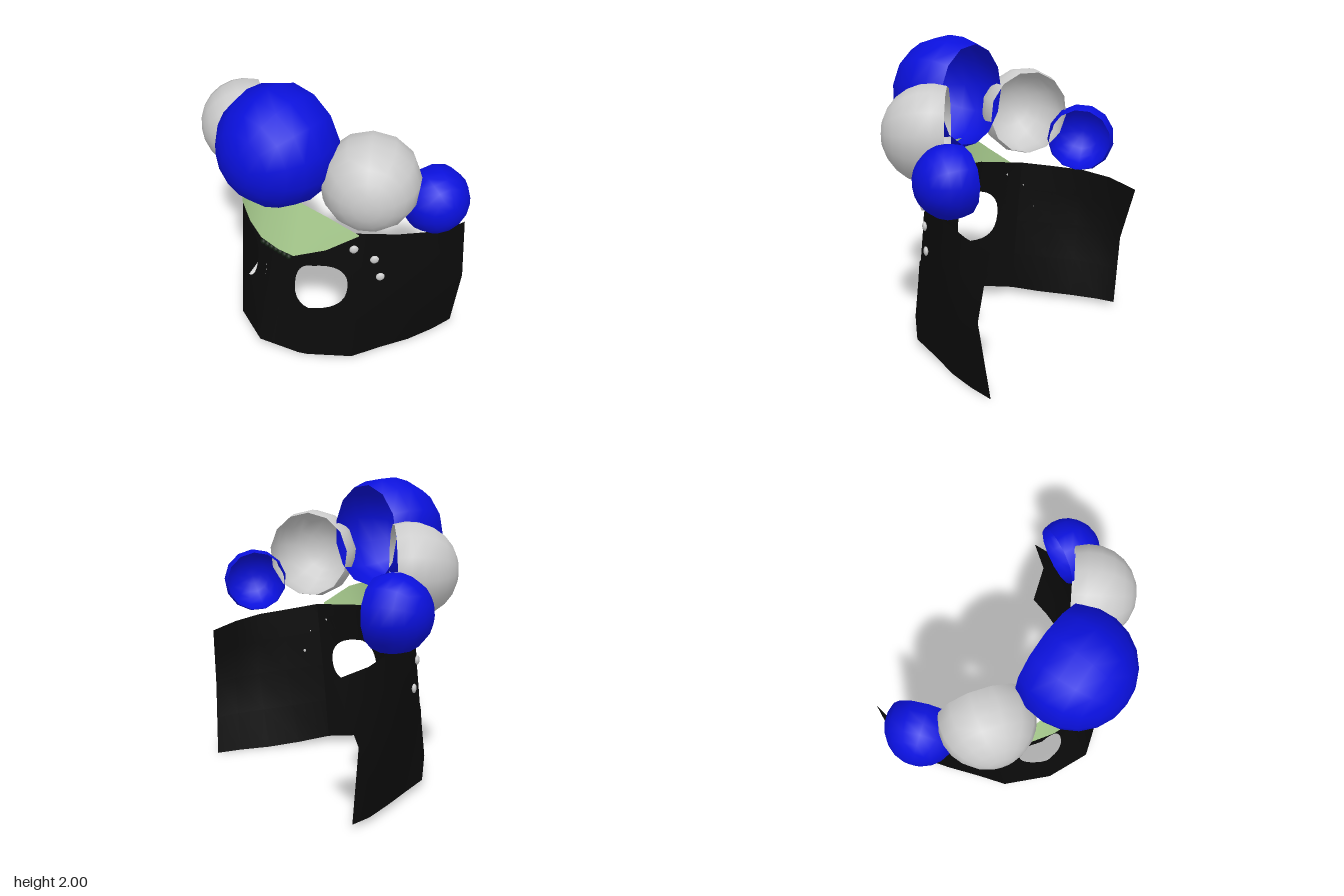
import * as THREE from 'three';
import { mergeGeometries } from 'three/addons/utils/BufferGeometryUtils.js';

const material = (color) => new THREE.MeshStandardMaterial({ color, side: THREE.DoubleSide });
const BLACK = material(0x0b0b0b), BLUE = material(0x0a10dc), GREY = material(0xcccccc);
const GREEN = material(0xafd494), DARK_GREEN = material(0x142014);

// Mask columns from right ear to left ear: [t, top x y z, middle x z, bottom x y z]
const COLUMNS = [
  [-0.95, -0.79, 0.92, -0.7, -0.85, -0.57, -0.79, 0.03, -0.57],
  [-0.85, -0.82, 0.97, -0.48, -0.84, -0.42, -0.77, 0.03, -0.43],
  [-0.75, -0.76, 1.01, -0.28, -0.78, -0.25, -0.71, 0.035, -0.25],
  [-0.65, -0.66, 1.03, -0.08, -0.68, -0.08, -0.62, 0.04, -0.02],
  [-0.55, -0.55, 1.05, 0.1, -0.55, 0.14, -0.55, 0.05, 0.18],
  [-0.3, -0.3, 1.08, 0.29, -0.3, 0.36, -0.3, 0.09, 0.42],
  [0, 0, 1.09, 0.35, 0, 0.41, 0, 0.1, 0.54],
  [0.3, 0.3, 1.09, 0.29, 0.3, 0.36, 0.3, 0.075, 0.43],
  [0.55, 0.55, 1.08, 0.1, 0.55, 0.15, 0.55, 0.045, 0.2],
  [0.65, 0.68, 1.04, -0.08, 0.7, -0.08, 0.63, 0.02, -0.02],
  [0.75, 0.78, 1.01, -0.25, 0.81, -0.25, 0.72, 0, -0.23],
  [0.85, 0.83, 0.97, -0.42, 0.87, -0.42, 0.79, 0, -0.43],
  [0.95, 0.84, 0.92, -0.6, 0.9, -0.56, 0.83, 0, -0.6],
];
const MID = 0.55;

function column(t) {
  let i = 0;
  while (i < COLUMNS.length - 2 && COLUMNS[i + 1][0] < t) i++;
  const a = COLUMNS[i], b = COLUMNS[i + 1], k = (t - a[0]) / (b[0] - a[0]);
  return a.map((v, j) => v + (b[j] - v) * k);
}

// Point of the mask; v runs from the bottom edge (0) to the top edge (1)
function maskPoint(t, v) {
  const [, tx, ty, tz, mx, mz, bx, by, bz] = column(t);
  const mid = new THREE.Vector3(mx, by + (ty - by) * MID, mz);
  return v < MID
    ? new THREE.Vector3(bx, by, bz).lerp(mid, v / MID)
    : mid.lerp(new THREE.Vector3(tx, ty, tz), (v - MID) / (1 - MID));
}

function heightToV(t, y) {
  const c = column(t);
  return (y - c[7]) / (c[2] - c[7]);
}

// Sheet through equal rows of points
function sheet(rows) {
  const n = rows[0].length, index = [];
  for (let i = 0; i < rows.length - 1; i++)
    for (let j = 0; j < n - 1; j++) {
      const a = i * n + j, b = a + n;
      index.push(a, b, b + 1, a, b + 1, a + 1);
    }
  const g = new THREE.BufferGeometry().setFromPoints(rows.flat());
  g.setIndex(index);
  g.computeVertexNormals();
  return g;
}

const strip = (ts) => sheet(ts.map((t) => [0, 0.28, MID, 0.8, 1].map((v) => maskPoint(t, v))));

// Panel from t0 to t1 around a rounded eye hole
function eyePanel(t0, t1, cx, cy, rx, ry) {
  const N = 8, outer = [];
  for (let s = 0; s < 4; s++)
    for (let i = 0; i < N; i++) {
      const k = i / N;
      outer.push([[k, 0], [1, k], [1 - k, 1], [0, 1 - k]][s]);
    }
  outer.push(outer[0]);
  const rings = [0, 0.35, 0.7, 1].map((f) => outer.map(([a, b]) => {
    const t = t0 + (t1 - t0) * a;
    const dx = (a - 0.5) * 2, dy = (b - 0.5) * 2;
    const scale = 1 / Math.pow(Math.abs(dx) ** 2.4 + Math.abs(dy) ** 2.4, 1 / 2.4);
    const ht = cx + rx * dx * scale, hv = heightToV(ht, cy + ry * dy * scale);
    return maskPoint(ht + (t - ht) * f, hv + (b - hv) * f);
  }));
  return sheet(rings);
}

// Open ball: a cap facing dir, cut off at the given distance behind its centre
function ball(name, mat, center, r, dir, cut) {
  const g = new THREE.SphereGeometry(r, 13, 7, 0, Math.PI * 2, 0, Math.acos(-cut / r));
  const m = new THREE.Mesh(g, mat);
  m.name = name;
  m.position.set(...center);
  m.quaternion.setFromUnitVectors(new THREE.Vector3(0, 1, 0), new THREE.Vector3(...dir).normalize());
  return m;
}

export function createModel() {
  const model = new THREE.Group();
  const add = (name, geometry, mat) => {
    const m = new THREE.Mesh(geometry, mat);
    m.name = name;
    model.add(m);
    return m;
  };

  // Wraparound face mask with two eye holes
  add('mask', mergeGeometries([
    strip([-0.95, -0.85, -0.75, -0.65, -0.55]),
    eyePanel(-0.55, -0.05, -0.29, 0.655, 0.143, 0.195),
    strip([-0.05, 0, 0.1]),
    eyePanel(0.1, 0.55, 0.34, 0.65, 0.15, 0.173),
    strip([0.55, 0.65, 0.75, 0.85, 0.95]),
  ]), BLACK);

  // Green brow band: [x, lower y, lower z, upper y, upper z]
  const band = [
    [-0.5, 1.04, 0.16, 1.05, 0.16], [-0.36, 0.99, 0.3, 1.17, 0.26], [-0.22, 0.94, 0.37, 1.28, 0.32],
    [-0.08, 0.9, 0.41, 1.28, 0.34], [0.08, 0.89, 0.415, 1.28, 0.34], [0.2, 0.89, 0.4, 1.28, 0.33],
    [0.38, 0.97, 0.29, 1.22, 0.27], [0.53, 1.08, 0.15, 1.09, 0.15],
  ];
  add('browBand', sheet(band.map(([x, y0, z0, y1, z1]) =>
    [new THREE.Vector3(x, y0, z0), new THREE.Vector3(x, y1, z1)])), GREEN);

  // Row of open balls across the forehead
  model.add(
    ball('centreBall', BLUE, [0.015, 1.62, 0.32], 0.385, [0, 0, 1], 0.19),
    ball('rightMiddleBall', GREY, [-0.52, 1.445, 0.07], 0.305, [-0.56, 0, 0.83], 0.1),
    ball('leftMiddleBall', GREY, [0.53, 1.46, 0.06], 0.31, [0.56, 0, 0.83], 0.1),
    ball('rightOuterBall', BLUE, [-0.77, 1.245, -0.26], 0.24, [-0.9, 0, 0.4], 0.1),
    ball('leftOuterBall', BLUE, [0.78, 1.265, -0.28], 0.222, [0.9, 0, 0.4], 0.08),
  );

  // Small beads under the band
  for (let i = 0; i < 7; i++) {
    const bead = add('bead', new THREE.SphereGeometry(0.02, 8, 6), DARK_GREEN);
    bead.position.set(-0.065 + i * 0.038, 0.87, 0.405);
  }

  // Flattened studs beside the eyes
  for (const [x, y] of [[-0.46, 0.97], [-0.565, 0.88], [-0.6, 0.715], [0.495, 0.97], [0.58, 0.88], [0.6, 0.73]]) {
    const stud = add('stud', new THREE.SphereGeometry(0.03, 10, 6), GREY);
    stud.scale.z = 0.5;
    stud.position.copy(maskPoint(x, heightToV(x, y)));
    stud.rotation.y = Math.sign(x) * 0.85;
    stud.translateZ(0.015);
  }
  return model;
}
